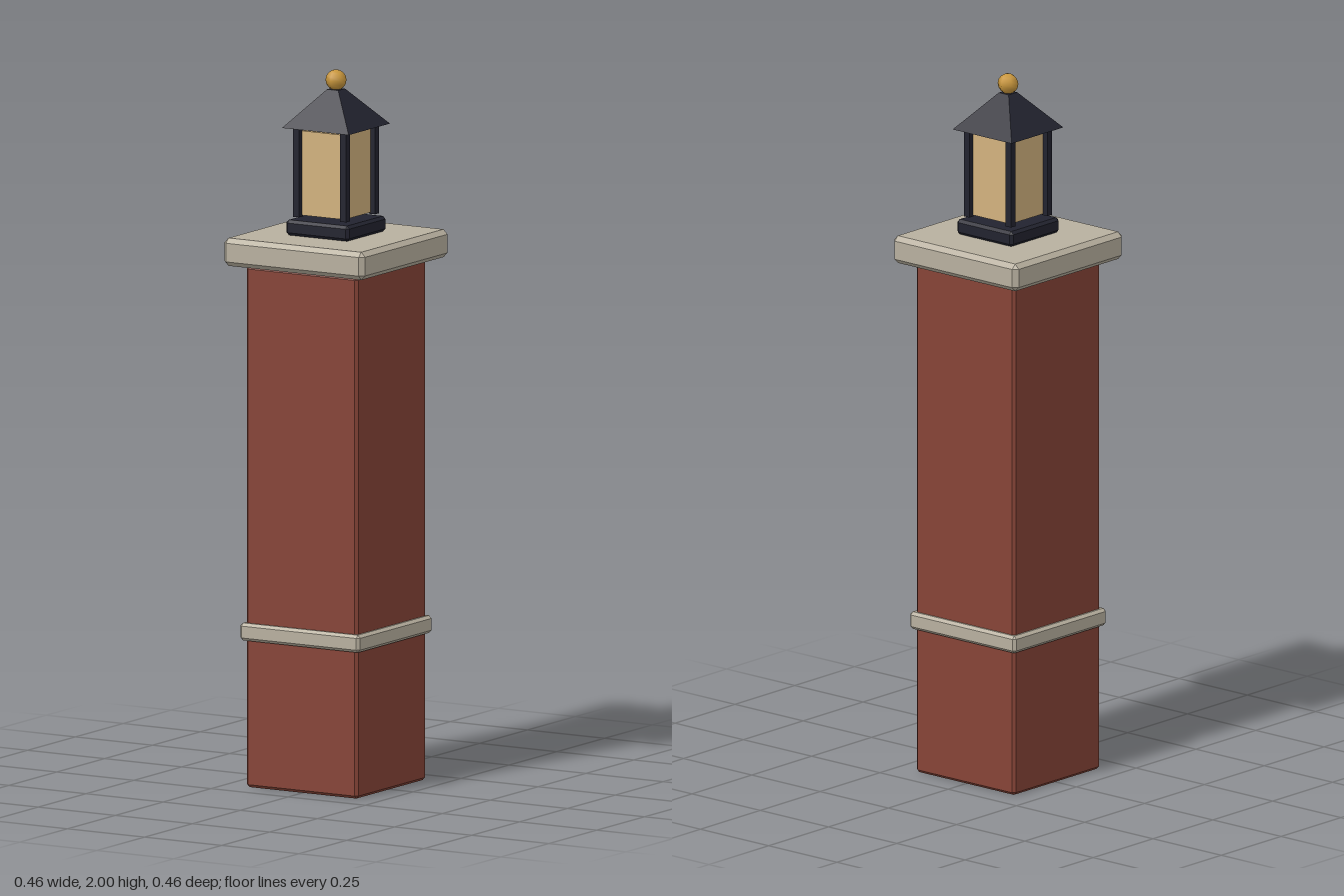
import * as THREE from 'three';
import { ConvexGeometry } from 'three/addons/geometries/ConvexGeometry.js';

const makeMaterial = (name, color) => {
  const material = new THREE.MeshStandardMaterial({ color });
  material.name = name;
  return material;
};

// Square block with every edge cut at 45 degrees, between heights y0 and y1
function chamferedBlock(half, y0, y1, cut) {
  const h = (y1 - y0) / 2;
  const points = [];
  for (const sx of [-1, 1]) for (const sy of [-1, 1]) for (const sz of [-1, 1]) {
    points.push(
      new THREE.Vector3(sx * half, sy * (h - cut), sz * (half - cut)),
      new THREE.Vector3(sx * (half - cut), sy * h, sz * (half - cut)),
      new THREE.Vector3(sx * (half - cut), sy * (h - cut), sz * half)
    );
  }
  return new ConvexGeometry(points).translate(0, (y0 + y1) / 2, 0);
}

export function createModel() {
  const model = new THREE.Group();
  model.name = 'lanternPillar';

  const brick = makeMaterial('brick red', 0x864437);
  const stone = makeMaterial('pale stone', 0xb8b09f);
  const iron = makeMaterial('dark iron', 0x22232f);
  const glass = makeMaterial('warm glass', 0xd2b27e);
  const brass = makeMaterial('brass', 0xc8963c);

  const add = (name, geometry, material, parent = model) => {
    const mesh = new THREE.Mesh(geometry, material);
    mesh.name = name;
    parent.add(mesh);
    return mesh;
  };

  // Pillar
  add('shaft', chamferedBlock(0.181, 0.003, 1.461, 0.008), brick);
  add('stoneBand', chamferedBlock(0.194, 0.414, 0.463, 0.008), stone);
  add('capstone', chamferedBlock(0.228, 1.463, 1.541, 0.013), stone);

  // Lantern
  const lantern = new THREE.Group();
  lantern.name = 'lantern';
  model.add(lantern);
  add('lanternBase', chamferedBlock(0.102, 1.542, 1.585, 0.008), iron, lantern);
  add('glassPane', new THREE.BoxGeometry(0.142, 0.236, 0.142).translate(0, 1.715, 0), glass, lantern);

  // Corner posts
  for (const sx of [-1, 1]) for (const sz of [-1, 1]) {
    const post = add('cornerPost', new THREE.BoxGeometry(0.02, 0.252, 0.02), iron, lantern);
    post.position.set(sx * 0.076, 1.719, sz * 0.076);
  }

  // Pyramid roof with a small flat top
  const roof = new THREE.CylinderGeometry(0.018 * Math.SQRT2, 0.108 * Math.SQRT2, 0.103, 4)
    .rotateY(Math.PI / 4).toNonIndexed();
  roof.computeVertexNormals();
  add('roof', roof, iron, lantern).position.y = 1.894;

  // Six-sided ball finial
  add('finial', new THREE.SphereGeometry(0.029, 6, 8).rotateY(Math.PI / 2), brass, lantern).position.y = 1.971;

  return model;
}
